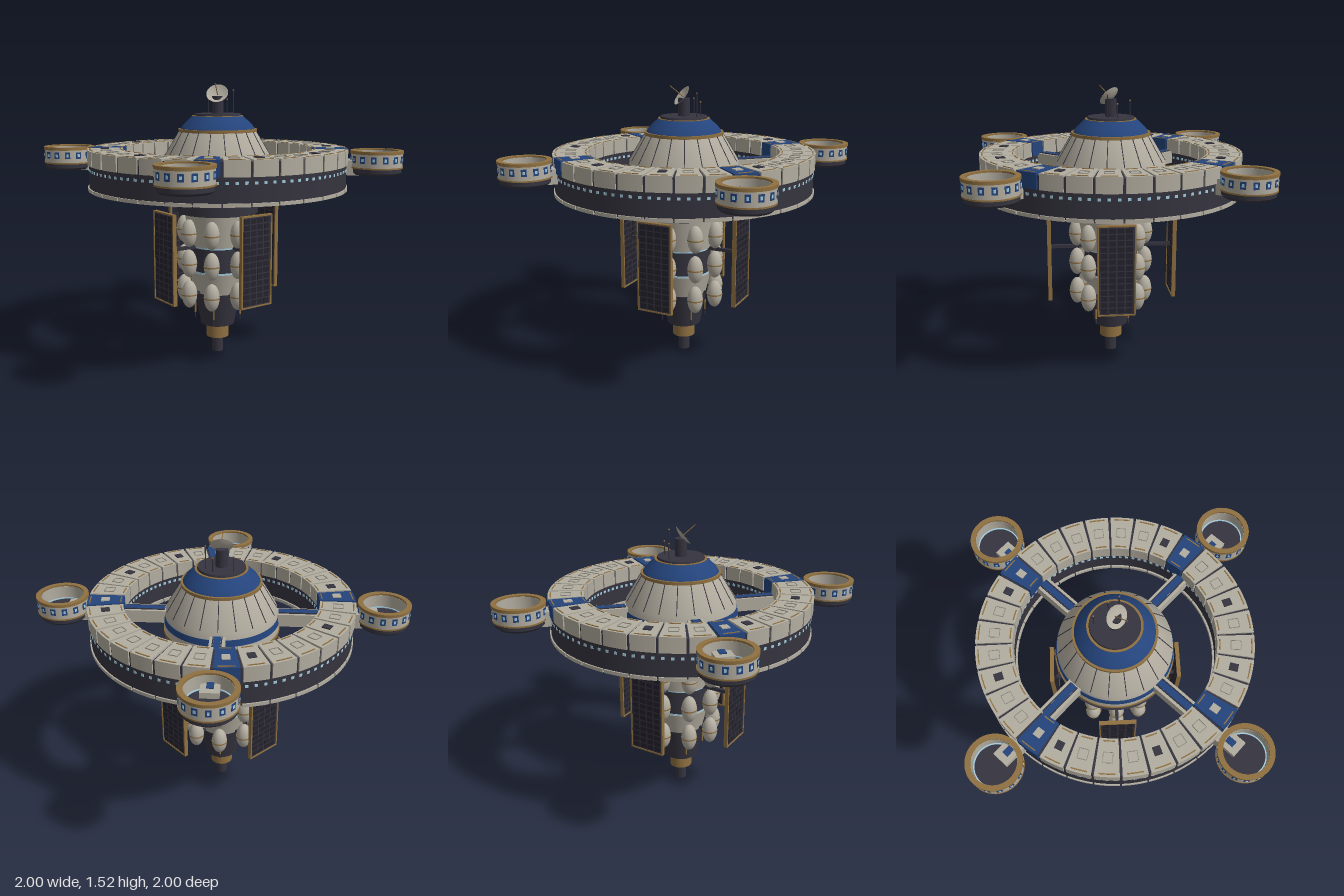
import * as THREE from 'three';
import { toCreasedNormals } from 'three/addons/utils/BufferGeometryUtils.js';

const mat = (name, color) => Object.assign(new THREE.MeshStandardMaterial({ color }), { name });

export function createModel() {
  const M = {
    hull: mat('hull', 0xb3ada0), dark: mat('dark metal', 0x35343f), blue: mat('blue paint', 0x24447c),
    gold: mat('gold trim', 0x8f7040), glass: mat('window glow', 0xa4cde0), solar: mat('solar cell', 0x24222c),
    trim: mat('grey trim', 0x8b877d), dish: mat('dish', 0xb3ada0)
  };
  M.dish.side = THREE.DoubleSide;
  const root = new THREE.Group();

  const group = (name, parent = root) => {
    const g = new THREE.Group();
    g.name = name;
    parent.add(g);
    return g;
  };
  const add = (parent, name, geo, material, x = 0, y = 0, z = 0) => {
    const m = new THREE.Mesh(geo, material);
    m.name = name;
    m.position.set(x, y, z);
    parent.add(m);
    return m;
  };
  const box = (x, y, z) => new THREE.BoxGeometry(x, y, z);
  const cyl = (top, bottom, h, n = 32) => new THREE.CylinderGeometry(top, bottom, h, n);
  // Profile of [radius, y] points, listed upward on the outside
  const lathe = (pts, n = 64) =>
    toCreasedNormals(new THREE.LatheGeometry(pts.map(p => new THREE.Vector2(...p)), n), 0.5);
  const tube = (r0, r1, y0, y1, n = 64) => lathe([[r0, y0], [r1, y0], [r1, y1], [r0, y1], [r0, y0]], n);
  // Flat arc block centred on angle 0
  const arc = (r0, r1, half, h) => {
    const s = new THREE.Shape();
    s.absarc(0, 0, r1, -half, half, false);
    s.absarc(0, 0, r0, half, -half, true);
    return new THREE.ExtrudeGeometry(s, { depth: h, bevelEnabled: false, curveSegments: 4 }).rotateX(-Math.PI / 2);
  };
  // Repeats a part about the vertical axis, its local +x pointing outward
  const around = (parent, name, n, offset, build) => {
    for (let i = 0; i < n; i++) {
      const g = group(name, parent);
      g.rotation.y = offset + i * Math.PI * 2 / n;
      build(g, i);
    }
  };

  // Habitat ring: dark core with segmented deck and keel plates
  const ring = group('habitatRing');
  add(ring, 'ringCore', tube(0.53, 0.703, 0.958, 1.16, 96), M.dark);
  const SEG = 32, step = Math.PI * 2 / SEG;
  const deck = arc(0.52, 0.71, step * 0.45, 0.08), keel = arc(0.52, 0.71, step * 0.47, 0.018);
  const innerDash = arc(0.53, 0.536, step * 0.28, 0.004), outerDash = arc(0.692, 0.698, step * 0.3, 0.004);
  const hatches = [1, 9, 13, 17, 21, 26, 29];
  const hatch = box(0.045, 0.006, 0.04), bar = box(0.05, 0.004, 0.003), crossBar = box(0.003, 0.004, 0.045);
  around(ring, 'ringSegment', SEG, step / 2, (g, i) => {
    const painted = i % 8 === 0;
    add(g, 'deckPlate', deck, painted ? M.blue : M.hull, 0, 1.09);
    add(g, 'keelPlate', keel, M.hull, 0, 0.95);
    add(g, 'innerDash', innerDash, M.gold, 0, 1.169);
    add(g, 'outerDash', outerDash, M.gold, 0, 1.169);
    if (painted) add(g, 'markerPlate', hatch, M.hull, 0.615, 1.172);
    else if (hatches.includes(i)) add(g, 'hatch', hatch, M.dark, 0.615, 1.172);
    else for (const s of [-1, 1]) {
      add(g, 'panelOutline', bar, M.trim, 0.615, 1.171, s * 0.024);
      add(g, 'panelOutline', crossBar, M.trim, 0.615 + s * 0.026, 1.171);
    }
  });
  const pane = box(0.005, 0.014, 0.016);
  around(ring, 'ringWindow', 96, step / 6, g => {
    add(g, 'outerWindow', pane, M.glass, 0.7025, 1.062);
    add(g, 'innerWindow', pane, M.glass, 0.5295, 1.062);
  });

  // Hub: base, window band, shell, blue collar and cap
  const hub = group('hub');
  add(hub, 'hubBase', lathe([[0, 0.928], [0.305, 0.928], [0.31, 0.945], [0.295, 0.95], [0.295, 1], [0, 1]]), M.dark);
  add(hub, 'lowerTrim', tube(0.28, 0.314, 0.992, 1.008), M.gold);
  around(hub, 'hubWindow', 48, 0, g => add(g, 'window', pane, M.glass, 0.2955, 0.97));
  add(hub, 'shell', lathe([[0.31, 1.005], [0.306, 1.05], [0.297, 1.12], [0.21, 1.265], [0, 1.265]]), M.hull);
  add(hub, 'shellStripe', lathe([[0.3, 1.045], [0.3095, 1.045], [0.305, 1.08], [0.29, 1.08]]), M.blue);
  const rib = box(0.004, 0.168, 0.004);
  around(hub, 'shellRib', 20, 0, g => { add(g, 'rib', rib, M.dark, 0.2535, 1.1925).rotation.z = 0.54; });
  add(hub, 'upperTrim', tube(0.17, 0.215, 1.258, 1.274), M.gold);
  add(hub, 'blueCollar', lathe([[0.203, 1.274], [0.19, 1.295], [0.14, 1.342], [0, 1.342]]), M.blue);
  add(hub, 'capTrim', tube(0.1, 0.14, 1.336, 1.345), M.gold);
  add(hub, 'cap', cyl(0.125, 0.13, 0.018, 48), M.dark, 0, 1.347);

  // Mast, dish and whip aerials
  const mast = group('mast');
  add(mast, 'mastPost', cyl(0.032, 0.032, 0.1, 24), M.dark, 0, 1.4);
  const dish = group('dishAssembly', mast);
  dish.position.set(0, 1.455, 0);
  dish.rotation.x = 0.9;
  add(dish, 'dishBowl', new THREE.LatheGeometry(
    [[0, 0], [0.025, 0.003], [0.045, 0.009], [0.06, 0.016]].map(p => new THREE.Vector2(...p)), 32), M.dish);
  add(dish, 'dishFeed', cyl(0.0025, 0.0025, 0.1, 8), M.gold, 0, 0.05);
  for (const [x, z, top] of [[0.08, -0.045, 1.48], [-0.065, -0.08, 1.44], [0.04, -0.08, 1.43]]) {
    add(mast, 'whipAerial', cyl(0.003, 0.003, top - 1.35, 8), M.dark, x, (top + 1.35) / 2, z);
    add(mast, 'aerialTip', new THREE.SphereGeometry(0.005, 8, 6), M.gold, x, top, z);
  }

  // Spokes joining hub and ring, and a docking pod outside each
  const podWindow = box(0.008, 0.036, 0.028), podPane = box(0.008, 0.016, 0.012);
  const podBase = lathe([[0, 1.04], [0.12, 1.04], [0.132, 1.052], [0.132, 1.085], [0, 1.085]], 48);
  const podWall = tube(0.112, 0.136, 1.076, 1.158, 48), podRim = tube(0.113, 0.14, 1.151, 1.167, 48);
  const podBand = tube(0.12, 0.139, 1.074, 1.082, 48), podGlow = tube(0.106, 0.112, 1.08, 1.09, 48);
  around(root, 'spokeArm', 4, 0, g => {
    add(g, 'spoke', box(0.27, 0.07, 0.08), M.hull, 0.405, 1.065);
    add(g, 'spokeStripe', box(0.23, 0.006, 0.036), M.blue, 0.42, 1.102);
    for (const s of [-1, 1]) add(g, 'spokeRail', box(0.23, 0.006, 0.005), M.dark, 0.42, 1.102, s * 0.022);
    add(g, 'connector', box(0.14, 0.08, 0.09), M.hull, 0.76, 1.075);
    add(g, 'connectorStripe', box(0.06, 0.006, 0.034), M.blue, 0.765, 1.117);
    const pod = group('pod', g);
    pod.position.x = 0.86;
    add(pod, 'podBase', podBase, M.dark);
    add(pod, 'podWall', podWall, M.hull);
    add(pod, 'podRim', podRim, M.gold);
    add(pod, 'podBand', podBand, M.gold);
    add(pod, 'podFloorLight', podGlow, M.glass);
    around(pod, 'podWindow', 14, 0.07, w => {
      add(w, 'windowFrame', podWindow, M.blue, 0.1335, 1.122);
      add(w, 'windowPane', podPane, M.glass, 0.135, 1.122);
    });
  });

  // Core stack below the hub
  const core = group('core');
  add(core, 'neck', cyl(0.2, 0.2, 0.03, 48), M.dark, 0, 0.92);
  add(core, 'collar', cyl(0.225, 0.225, 0.095, 48), M.dark, 0, 0.862);
  add(core, 'upperDrum', cyl(0.185, 0.16, 0.185, 48), M.hull, 0, 0.725);
  add(core, 'middleDrum', cyl(0.15, 0.15, 0.135, 48), M.dark, 0, 0.555);
  add(core, 'lowerDrum', cyl(0.155, 0.125, 0.125, 48), M.hull, 0, 0.417);
  for (const y of [0.628, 0.483]) add(core, 'lightDisc', cyl(0.152, 0.152, 0.012, 48), M.glass, 0, y);
  add(core, 'engineHousing', cyl(0.128, 0.095, 0.19, 32), M.dark, 0, 0.263);
  add(core, 'goldSocket', cyl(0.063, 0.063, 0.08, 32), M.gold, 0, 0.13);
  add(core, 'tailProbe', cyl(0.032, 0.032, 0.092, 24), M.dark, 0, 0.046);
  around(core, 'tailRod', 4, 0, g => {
    add(g, 'rod', cyl(0.004, 0.004, 0.17, 8), M.dark, 0.13, 0.275);
    add(g, 'rodTip', cyl(0.005, 0.005, 0.06, 8), M.gold, 0.13, 0.25);
    add(g, 'rodBracket', box(0.04, 0.01, 0.01), M.dark, 0.115, 0.34);
  });

  // Storage tanks in three rows of eight
  const tank = new THREE.SphereGeometry(0.043, 20, 14).scale(1, 1.8, 1);
  const belt = new THREE.CylinderGeometry(0.0445, 0.0445, 0.007, 20);
  for (const y of [0.71, 0.54, 0.365]) around(core, 'tankMount', 8, 0, g => {
    add(g, 'tank', tank, M.hull, 0.192, y);
    add(g, 'tankBelt', belt, M.gold, 0.192, y);
    add(g, 'tankBracket', box(0.08, 0.014, 0.016), M.dark, 0.145, y);
  });

  // Four solar panels on diagonal struts
  const cell = box(0.004, 0.027, 0.036);
  around(root, 'solarPanel', 4, Math.PI / 4, g => {
    add(g, 'strut', box(0.23, 0.018, 0.018), M.dark, 0.24, 0.63);
    add(g, 'panelPlate', box(0.014, 0.48, 0.19), M.dark, 0.347, 0.5925);
    for (const s of [-1, 1]) {
      add(g, 'sideFrame', box(0.022, 0.496, 0.008), M.gold, 0.347, 0.5925, s * 0.097);
      add(g, 'endFrame', box(0.022, 0.008, 0.19), M.gold, 0.347, 0.5925 + s * 0.244);
      for (let r = 0; r < 14; r++) for (let c = 0; c < 4; c++)
        add(g, 'solarCell', cell, M.solar, 0.347 + s * 0.007, 0.373 + r * 0.0338, (c - 1.5) * 0.044);
    }
  });

  return root;
}
